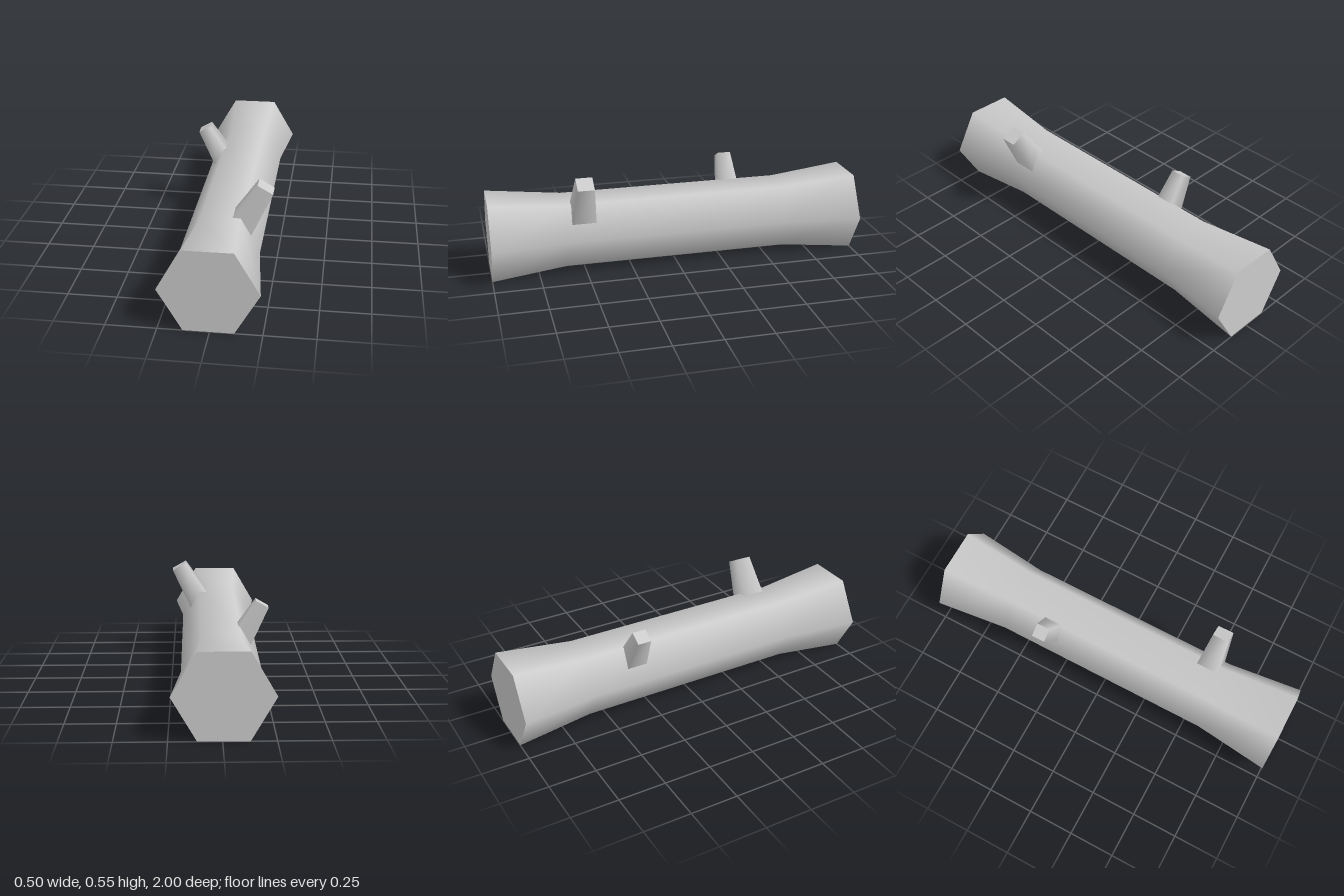
import * as THREE from 'three';

const material = new THREE.MeshStandardMaterial({ color: 0xcccccc });
const CENTRE = new THREE.Vector3(-0.006, 0.212, 0);
const END_RADIUS = 0.244;

function addMesh(parent, name, geometry) {
  const mesh = new THREE.Mesh(geometry, material);
  mesh.name = name;
  parent.add(mesh);
  return mesh;
}

// Square, smoothly shaded stub that tapers towards its tip and leans sideways.
function addBranch(parent, name, tip, halfWidth, lean, length) {
  const baseHalf = halfWidth + length * 0.084;
  const geometry = new THREE.CylinderGeometry(halfWidth * Math.SQRT2, baseHalf * Math.SQRT2, length, 4);
  geometry.rotateY(Math.PI / 4);
  geometry.translate(0, -length / 2, 0); // origin at the tip
  const branch = addMesh(parent, name, geometry);
  branch.position.set(...tip);
  branch.rotation.z = lean;
}

export function createModel() {
  const group = new THREE.Group();
  group.name = 'log';

  // Six-sided trunk, flared at both ends
  const profile = [[END_RADIUS, -1], [0.198, -0.6], [0.198, 0.6], [END_RADIUS, 1]]
    .map(([r, y]) => new THREE.Vector2(r, y));
  const wall = new THREE.LatheGeometry(profile, 6, Math.PI / 2);
  wall.rotateX(Math.PI / 2);
  addMesh(group, 'trunk', wall).position.copy(CENTRE);

  // Flat cut faces
  for (const side of [1, -1]) {
    const cut = addMesh(group, side > 0 ? 'frontCut' : 'backCut', new THREE.CircleGeometry(END_RADIUS, 6));
    cut.position.copy(CENTRE).setZ(side);
    if (side < 0) cut.rotation.y = Math.PI;
  }

  // Sawn-off branch stubs
  addBranch(group, 'leftBranch', [0.211, 0.5335, 0.51], 0.0435, -Math.PI / 6, 0.3);
  addBranch(group, 'rightBranch', [-0.2185, 0.495, -0.34], 0.0363, Math.PI / 6, 0.25);

  return group;
}
